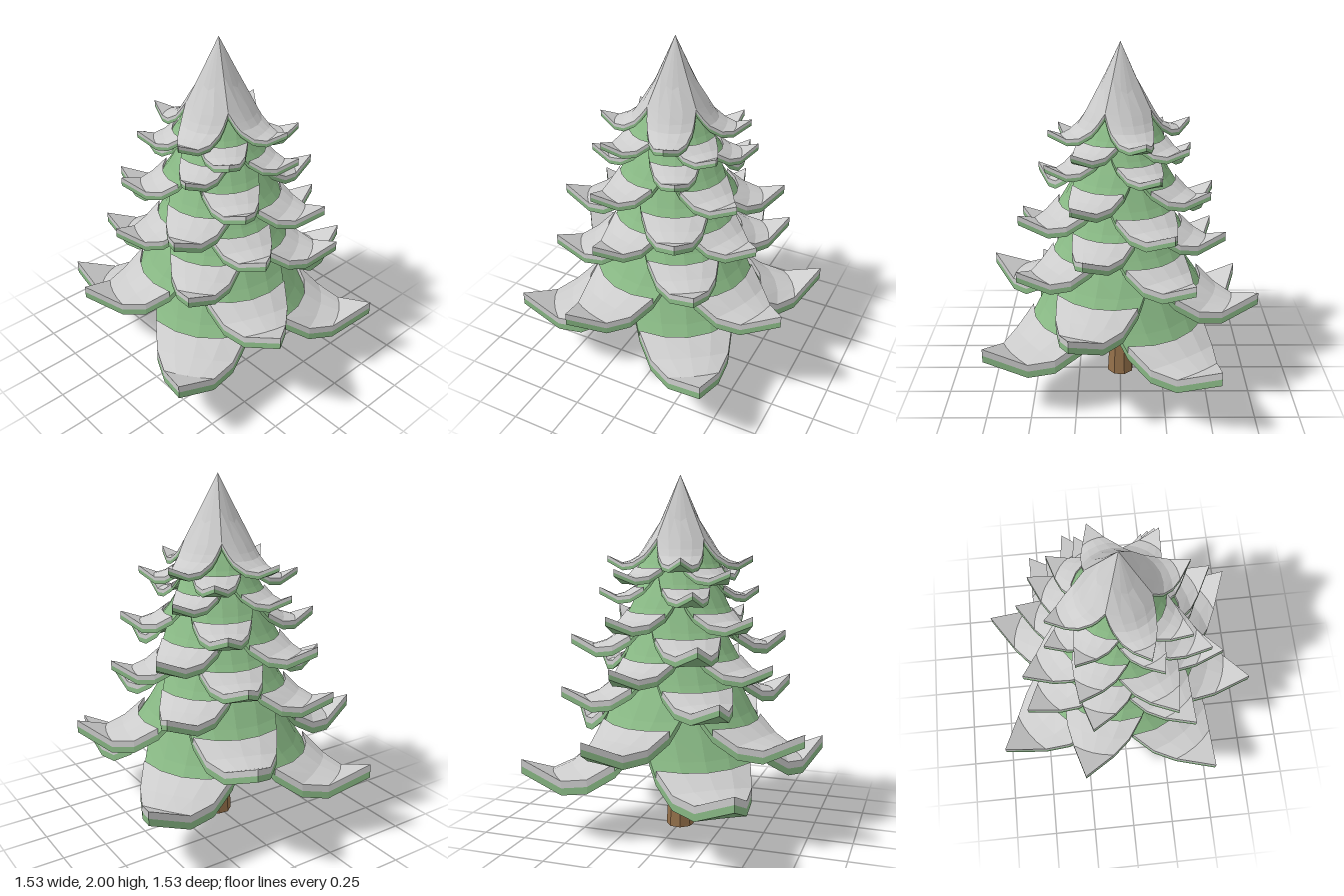
import * as THREE from 'three';

const GREEN = new THREE.MeshStandardMaterial({ color: 0x88b884, flatShading: true });
const SNOW = new THREE.MeshStandardMaterial({ color: 0xcccccc, flatShading: true });
const BARK = new THREE.MeshStandardMaterial({ color: 0x94704a, flatShading: true });

// Cross-sections of one bough, from the tree's axis to the upturned tip:
// ridge distance, ridge height, edge distance, edge half-width, edge height
const SECTIONS = [
  [0, 1.16, 0, 0, 1.16],
  [0.25, 0.59, 0.141, 0.141, 0.77],
  [0.4, 0.36, 0.283, 0.283, 0.39],
  [0.46, 0.26, 0.37, 0.275, 0.27],
  [0.52, 0.18, 0.44, 0.261, 0.19],
  [0.62, 0.12, 0.583, 0.214, 0.1],
  [0.73, 0.09, 0.71, 0.138, 0.08],
  [0.905, 0.18, 0.905, 0, 0.18],
];
const ACROSS = [-1, -0.5, 0, 0.5, 1];
const LAYER = 0.04;

// Closed layer of a bough pointing to +z, sunk by "drop" below the top surface
function boughLayer(firstSection, drop) {
  const rings = SECTIONS.slice(firstSection).map(([ridge, ridgeY, edge, half, edgeY]) => {
    const line = (sink) => ACROSS.map((u) => [
      half * u,
      THREE.MathUtils.lerp(ridgeY, edgeY, u * u) - sink,
      THREE.MathUtils.lerp(ridge, edge, u * u),
    ]);
    return [...line(drop), ...line(drop + LAYER).reverse()];
  });
  const n = ACROSS.length * 2;
  const index = [];
  for (let i = 0; i < rings.length - 1; i++) {
    for (let k = 0; k < n; k++) {
      const a = i * n + k, d = i * n + (k + 1) % n;
      index.push(a, a + n, d + n, a, d + n, d);
    }
  }
  // Inner end cap
  for (let k = 0; k < ACROSS.length - 1; k++) {
    const below = n - 1 - k;
    index.push(k, k + 1, below - 1, k, below - 1, below);
  }
  const geometry = new THREE.BufferGeometry();
  geometry.setAttribute('position', new THREE.Float32BufferAttribute(rings.flat(2), 3));
  geometry.setIndex(index);
  const flat = geometry.toNonIndexed();
  flat.computeVertexNormals();
  return flat;
}

// Tiers from the ground up: lowest height, tip radius, turn in degrees
const TIERS = [
  [0.28, 0.908, 35],
  [0.5, 0.81, 71],
  [0.72, 0.68, 35],
  [0.88, 0.607, 71.5],
  [1.01, 0.612, 26.6],
  [1.15, 0.54, 62.4],
  [1.3, 0.452, 26.6],
  [1.41, 0.436, 54.8],
  [1.48, 0.406, 18.6],
];

export function createModel() {
  const tree = new THREE.Group();
  tree.name = 'snowyFirTree';

  // Tapered trunk
  const trunk = new THREE.Mesh(new THREE.CylinderGeometry(0.025, 0.08, 1, 8), BARK);
  trunk.name = 'trunk';
  trunk.position.y = 0.5;
  trunk.rotation.y = 0.3;
  tree.add(trunk);

  const needles = boughLayer(0, LAYER);
  const snow = boughLayer(4, 0);
  const snowCap = boughLayer(0, 0);

  // Four boughs per tier; the top tier is snow-covered up to the apex
  TIERS.forEach(([low, radius, turn], t) => {
    const tier = new THREE.Group();
    tier.name = `boughTier${t + 1}`;
    tier.position.y = low;
    tier.scale.setScalar(radius / 0.905);
    for (let q = 0; q < 4; q++) {
      const bough = new THREE.Group();
      bough.name = 'bough';
      bough.rotation.y = THREE.MathUtils.degToRad(turn + q * 90);
      const green = new THREE.Mesh(needles, GREEN);
      green.name = 'needles';
      const white = new THREE.Mesh(t === TIERS.length - 1 ? snowCap : snow, SNOW);
      white.name = 'snow';
      bough.add(green, white);
      tier.add(bough);
    }
    tree.add(tier);
  });

  return tree;
}
